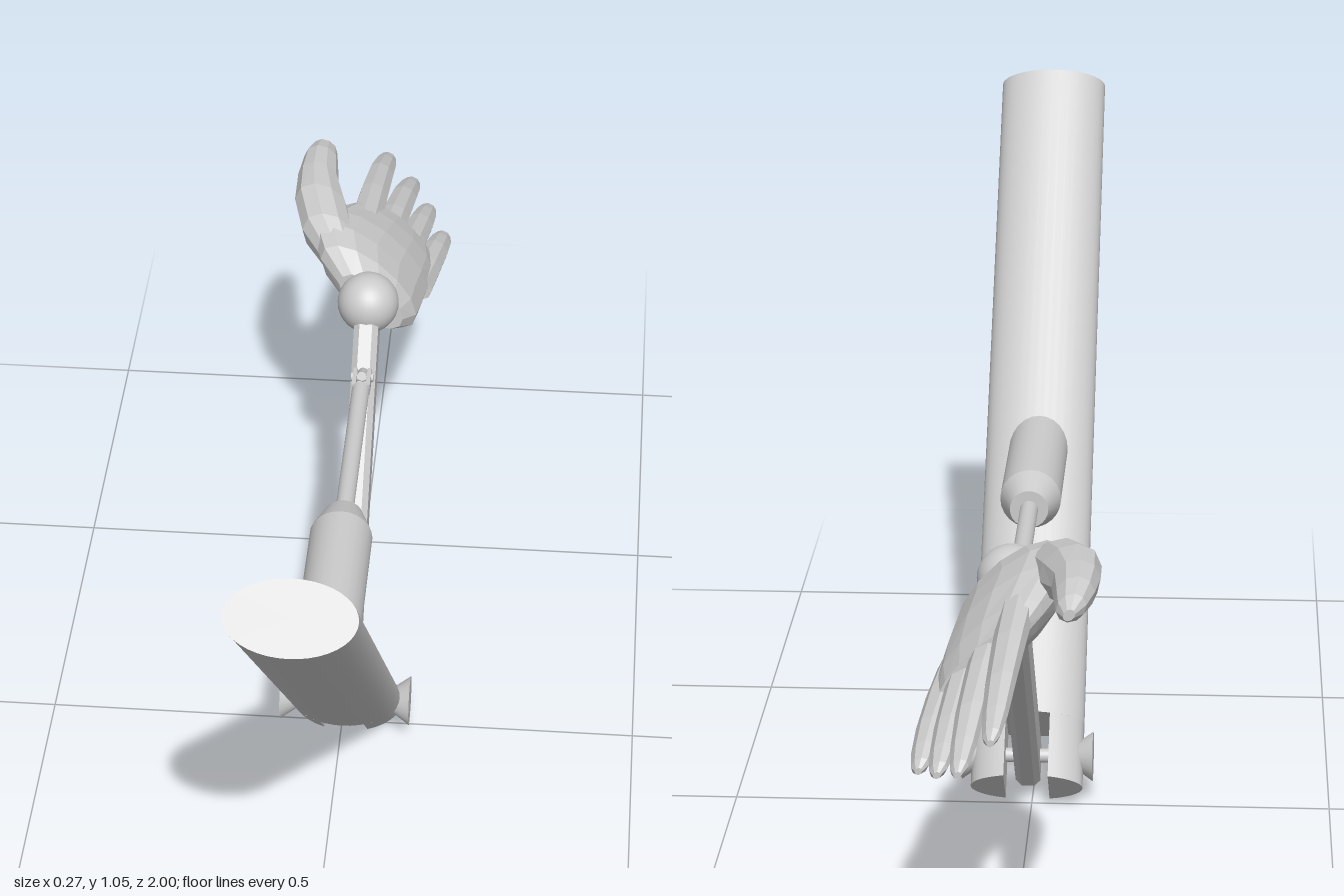
import * as THREE from 'three';
import { toCreasedNormals } from 'three/addons/utils/BufferGeometryUtils.js';

const X = 0.008; // centre plane of the arm
const smooth = new THREE.MeshStandardMaterial({ color: 0xcccccc });
const faceted = new THREE.MeshStandardMaterial({ color: 0xcccccc, flatShading: true });

function add(parent, name, geometry, material = smooth) {
  const mesh = new THREE.Mesh(geometry, material);
  mesh.name = name;
  parent.add(mesh);
  return mesh;
}

// Frustum running from point a (radius ra) to point b (radius rb)
function rod(parent, name, a, b, ra, rb = ra, sides = 24) {
  const from = new THREE.Vector3(...a), to = new THREE.Vector3(...b);
  const dir = to.clone().sub(from);
  const mesh = add(parent, name, new THREE.CylinderGeometry(rb, ra, dir.length(), sides));
  mesh.position.copy(from).add(to).multiplyScalar(0.5);
  mesh.quaternion.setFromUnitVectors(new THREE.Vector3(0, 1, 0), dir.normalize());
  return mesh;
}

// Prism with a cross-section in the xz plane, standing along y from y0 to y1
function prism(points, y0, y1) {
  const shape = new THREE.Shape(points.map(([x, z]) => new THREE.Vector2(x, z)));
  const geo = new THREE.ExtrudeGeometry(shape, { depth: y1 - y0, bevelEnabled: false });
  geo.rotateX(-Math.PI / 2).translate(0, y0, 0);
  return toCreasedNormals(geo, 0.5);
}

// Closed loft towards -z; rows are [x, y, z, half width, half thickness], rolled 45 degrees
function handLoft(rows, sides = 10) {
  const pos = [], index = [], k = Math.SQRT1_2;
  for (const [x, y, z, w, t] of rows) {
    for (let j = 0; j < sides; j++) {
      const a = (j / sides) * Math.PI * 2;
      const u = Math.cos(a) * w, n = Math.sin(a) * t;
      pos.push(x + (u + n) * k, y + (n - u) * k, z);
    }
  }
  const last = (rows.length - 1) * sides;
  const startCap = pos.length / 3, endCap = startCap + 1;
  pos.push(...rows[0].slice(0, 3), ...rows[rows.length - 1].slice(0, 3));
  for (let j = 0; j < sides; j++) {
    const m = (j + 1) % sides;
    for (let i = 0; i < last; i += sides) {
      index.push(i + j, i + sides + j, i + m, i + m, i + sides + j, i + sides + m);
    }
    index.push(startCap, j, m, endCap, last + m, last + j);
  }
  const geo = new THREE.BufferGeometry();
  geo.setAttribute('position', new THREE.Float32BufferAttribute(pos, 3));
  geo.setIndex(index);
  geo.computeVertexNormals();
  return geo;
}

// Tapered, slightly arched finger from base through a knuckle to the tip
function finger(base, mid, tip) {
  const curve = new THREE.CatmullRomCurve3([base, mid, tip].map(p => new THREE.Vector3(...p)));
  const profile = [[0, 0.03, 0.024], [0.3, 0.028, 0.022], [0.6, 0.025, 0.019],
    [0.82, 0.021, 0.016], [0.95, 0.015, 0.011], [1, 0.006, 0.005]];
  return handLoft(profile.map(([t, w, h]) => [...curve.getPoint(t).toArray(), w, h]), 8);
}

export function createModel() {
  const model = new THREE.Group();
  model.name = 'mechanicalArm';

  // Upper arm: oval tube leaning forward, with a forked lower end
  const upper = new THREE.Group();
  upper.name = 'upperArm';
  upper.position.set(X, 0.043, -0.016);
  upper.rotation.x = Math.PI / 4;
  model.add(upper);
  const rx = 0.094, rz = 0.055, slot = 0.037, fork = 0.115, length = 1.386;
  add(upper, 'upperArmTube', new THREE.CylinderGeometry(1, 1, length - fork, 40)
    .scale(rx, 1, rz).translate(0, (length + fork) / 2, 0));
  const limit = Math.acos(slot / rx);
  for (const side of [1, -1]) {
    const outline = [];
    for (let i = 0; i <= 14; i++) {
      const a = -limit + (2 * limit * i) / 14 + (side < 0 ? Math.PI : 0);
      outline.push([Math.cos(a) * rx, Math.sin(a) * rz]);
    }
    add(upper, 'elbowForkProng', prism(outline, 0, fork));
  }

  // Elbow axle with conical knobs
  const ey = 0.083, ez = 0.027;
  rod(model, 'elbowAxle', [X - 0.09, ey, ez], [X + 0.09, ey, ez], 0.012);
  for (const s of [1, -1]) {
    rod(model, 'elbowKnob', [X + s * 0.068, ey, ez], [X + s * 0.11, ey, ez], 0.012, 0.042);
  }

  // Forearm: chamfered bar rising towards the back
  const forearm = new THREE.Group();
  forearm.name = 'forearm';
  forearm.position.set(X, ey, ez);
  forearm.rotation.x = -Math.PI / 4;
  model.add(forearm);
  const w = 0.021, d = 0.039, c = 0.01;
  add(forearm, 'forearmBar', prism([[w, c - d], [w, d - c], [w - c, d], [c - w, d],
    [-w, d - c], [-w, c - d], [c - w, -d], [w - c, -d]], -0.04, 0.66));

  // Actuator between upper arm and forearm
  const ay = 0.507;
  rod(model, 'actuatorBody', [X, ay, 0.43], [X, ay, 0.122], 0.051);
  rod(model, 'actuatorNeck', [X, ay, 0.122], [X, ay, 0.068], 0.051, 0.032);
  rod(model, 'actuatorRod', [X, ay, 0.07], [X, ay, -0.288], 0.015);
  for (const s of [1, -1]) {
    const prong = add(model, 'clevisProng', new THREE.BoxGeometry(0.007, 0.022, 0.05));
    prong.position.set(X + s * 0.012, ay, -0.308);
  }
  rod(model, 'clevisPin', [X - 0.019, ay, -0.322], [X + 0.019, ay, -0.322], 0.008, 0.008, 12);
  rod(model, 'forearmLug', [X, ay + 0.008, -0.312], [X, ay - 0.02, -0.37], 0.008, 0.012, 12);

  // Wrist ball
  add(model, 'wristBall', new THREE.SphereGeometry(0.053, 28, 18)).position.set(X, 0.575, -0.449);

  // Hand: palm, thumb and four fingers
  const hand = new THREE.Group();
  hand.name = 'hand';
  model.add(hand);
  add(hand, 'palm', handLoft([
    [0.012, 0.565, -0.465, 0.07, 0.035], [0.005, 0.572, -0.5, 0.108, 0.048],
    [0, 0.573, -0.55, 0.124, 0.052], [0.01, 0.563, -0.61, 0.12, 0.05],
    [0.028, 0.548, -0.68, 0.106, 0.038], [0.038, 0.54, -0.73, 0.085, 0.025]], 14), faceted);
  add(hand, 'thumb', handLoft([
    [-0.045, 0.615, -0.51, 0.035, 0.03], [-0.07, 0.635, -0.56, 0.05, 0.042],
    [-0.088, 0.65, -0.63, 0.052, 0.042], [-0.1, 0.662, -0.7, 0.038, 0.034],
    [-0.1, 0.664, -0.76, 0.032, 0.028], [-0.097, 0.66, -0.8, 0.024, 0.02],
    [-0.095, 0.657, -0.822, 0.01, 0.008]]), faceted);
  const fingers = {
    indexFinger: [[-0.012, 0.602, -0.66], [-0.002, 0.578, -0.84], [0.007, 0.53, -0.995]],
    middleFinger: [[0.022, 0.563, -0.66], [0.04, 0.532, -0.84], [0.053, 0.48, -0.992]],
    ringFinger: [[0.053, 0.528, -0.65], [0.073, 0.495, -0.81], [0.086, 0.457, -0.94]],
    littleFinger: [[0.082, 0.494, -0.62], [0.103, 0.471, -0.76], [0.117, 0.437, -0.88]],
  };
  for (const [name, path] of Object.entries(fingers)) add(hand, name, finger(...path), faceted);

  return model;
}
